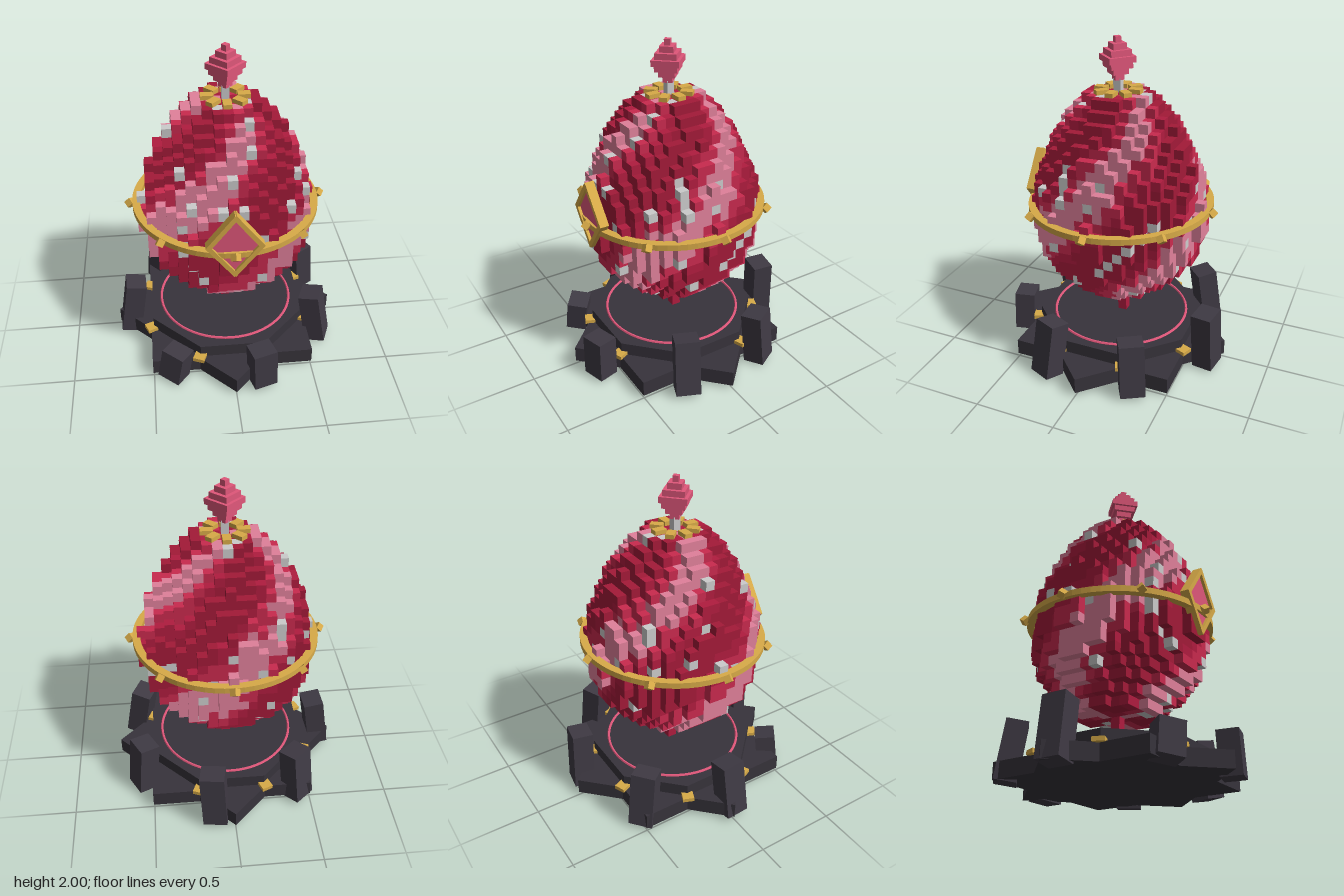
import * as THREE from 'three';
import { mergeGeometries } from 'three/addons/utils/BufferGeometryUtils.js';

const mat = (color) => new THREE.MeshStandardMaterial({ color, flatShading: true });
const gold = mat(0xd8ab48), stone = mat(0x3f3a44), slate = mat(0x37333b);
const rose = mat(0xe0577a), crimson = mat(0xb01c3f), grey = mat(0xcccccc);
const shell = [mat(0xa31a38), crimson, mat(0xc92a4e), mat(0xe0809a), grey];

function add(parent, name, geometry, material, x = 0, y = 0, z = 0) {
  const mesh = new THREE.Mesh(geometry, material);
  mesh.name = name;
  mesh.position.set(x, y, z);
  parent.add(mesh);
  return mesh;
}
const box = (w, h, d) => new THREE.BoxGeometry(w, h, d);

// Repeatable value in 0..1 from a cell address
function hash(a, b, c) {
  const s = Math.sin(a * 127.1 + b * 311.7 + c * 74.7) * 43758.5453;
  return s - Math.floor(s);
}

// Egg of small cubes, each layer a disc, coloured in three rising spirals
function buildEgg() {
  const egg = new THREE.Group();
  egg.name = 'eggShell';
  const size = 0.0571, bottom = 0.42;
  const radii = [4.3, 5.6, 6.6, 7.5, 8.2, 8.6, 8.9, 9.1, 9.15, 9.15, 9.05,
    8.9, 8.7, 8.4, 8.0, 7.6, 7.1, 6.6, 6.0, 5.2, 4.3, 3.2];
  const filled = (i, j, k) => j >= 0 && j < radii.length && Math.hypot(i, k) <= radii[j];
  const buckets = shell.map(() => []);
  for (let j = 0; j < radii.length; j++)
    for (let i = -9; i <= 9; i++)
      for (let k = -9; k <= 9; k++) {
        if (!filled(i, j, k)) continue;
        const buried = filled(i + 1, j, k) && filled(i - 1, j, k) && filled(i, j + 1, k)
          && filled(i, j - 1, k) && filled(i, j, k + 1) && filled(i, j, k - 1);
        if (buried) continue;
        const y = bottom + (j + 0.5) * size;
        const wave = Math.cos(3 * Math.atan2(i, k) - (Math.PI * 2 * (y - 0.5)) / 0.92)
          + (hash(i >> 1, j >> 1, k >> 1) - 0.5) * 0.6;
        let tone = wave > 0.6 ? 3 : wave > 0.05 ? 2 : wave > -0.45 ? 1 : 0;
        if (hash(i, j, k) < 0.06) tone = 4;
        buckets[tone].push(box(size, size, size).translate(i * size, y, k * size));
      }
  const names = ['deepRedCubes', 'crimsonCubes', 'redCubes', 'pinkCubes', 'greyCubes'];
  buckets.forEach((list, n) => add(egg, names[n], mergeGeometries(list), shell[n]));
  return egg;
}

// Flat girdle with eight beads
function buildRing() {
  const ring = new THREE.Group();
  ring.name = 'girdle';
  const section = [[0.525, -0.018], [0.572, -0.018], [0.572, 0.018], [0.525, 0.018], [0.525, -0.018]];
  add(ring, 'girdleBand', new THREE.LatheGeometry(section.map((p) => new THREE.Vector2(...p)), 64), gold);
  for (let n = 0; n < 8; n++) {
    const a = (n * Math.PI) / 4;
    const bead = add(ring, 'girdleBead', box(0.042, 0.042, 0.042), gold, Math.sin(a) * 0.585, 0, Math.cos(a) * 0.585);
    bead.rotation.set(Math.PI / 4, a, Math.PI / 4, 'YXZ');
  }
  ring.position.y = 0.985;
  return ring;
}

// Diamond medallion: stepped filling inside a four-bar frame
function buildMedallion() {
  const group = new THREE.Group();
  group.name = 'medallion';
  const hw = 0.15, hh = 0.198, rows = 13;
  for (let r = 0; r < rows; r++) {
    const y = ((r + 0.5) / rows * 2 - 1) * hh;
    const w = 2 * hw * (1 - Math.abs(y) / hh);
    add(group, 'medallionRow', box(w, (2 * hh) / rows, 0.03), rose, 0, y, -0.005);
  }
  for (const sx of [-1, 1])
    for (const sy of [-1, 1]) {
      const bar = add(group, 'medallionFrame', box(Math.hypot(hw, hh) + 0.02, 0.028, 0.056), gold, (sx * hw) / 2, (sy * hh) / 2, 0);
      bar.rotation.z = -sx * sy * Math.atan2(hh, hw);
    }
  group.position.set(0, 1.045, 0.545);
  return group;
}

// Crown petals, neck and stepped finial
function buildTop() {
  const group = new THREE.Group();
  group.name = 'crown';
  for (let n = 0; n < 8; n++) {
    const a = (n * Math.PI) / 4;
    add(group, 'crownPetal', box(0.05, 0.026, 0.075), gold, Math.sin(a) * 0.107, 1.69, Math.cos(a) * 0.107).rotation.y = a;
  }
  add(group, 'neck', box(0.045, 0.09, 0.045), grey, 0, 1.715, 0);
  const halfDiagonals = [0.04, 0.068, 0.095, 0.116, 0.09, 0.058, 0.025], h = 0.25 / 7;
  halfDiagonals.forEach((d, n) => {
    const w = d * Math.SQRT2;
    add(group, 'finialStep', box(w, h, w), rose, 0, 1.75 + (n + 0.5) * h, 0).rotation.y = Math.PI / 4;
  });
  return group;
}

// Star plinth with an octagonal step, clips in the notches and leaning stones
function buildBase() {
  const base = new THREE.Group();
  base.name = 'base';
  for (const turn of [0, Math.PI / 4])
    add(base, 'starSlab', box(1.01, 0.1, 1.01), slate, 0, 0.07, 0).rotation.y = turn;
  add(base, 'octagonStep', new THREE.CylinderGeometry(0.53, 0.53, 0.085, 8), slate, 0, 0.1575, 0).rotation.y = Math.PI / 8;
  const inlay = add(base, 'inlayRing', new THREE.TorusGeometry(0.43, 0.009, 6, 64), rose, 0, 0.203, 0);
  inlay.rotation.x = Math.PI / 2;
  for (let n = 0; n < 8; n++) {
    const a = ((n + 0.5) * Math.PI) / 4;
    add(base, 'goldClip', box(0.07, 0.025, 0.07), gold, Math.sin(a) * 0.545, 0.13, Math.cos(a) * 0.545).rotation.y = a;
  }
  // height, inward lean, sideways lean
  const stones = [[0.28, 0.03, 0.03], [0.37, 0.18, 0], [0.36, 0.1, 0.02], [0.395, 0.04, 0.06],
    [0.37, 0.15, -0.03], [0.38, 0.15, 0.02], [0.22, 0.12, -0.12]];
  stones.forEach(([h, lean, roll], n) => {
    const a = 0.27 + (n * Math.PI * 2) / 7;
    const block = add(base, 'leaningStone', box(0.15, h - 0.02, 0.13).translate(0, h / 2, 0), stone,
      Math.sin(a) * 0.645, 0.005, Math.cos(a) * 0.645);
    block.rotation.set(-lean, a, roll, 'YXZ');
  });
  return base;
}

export function createModel() {
  const model = new THREE.Group();
  model.name = 'jewelledEgg';
  model.add(buildBase());

  // The egg and everything fixed to it tip slightly forward
  const tilted = new THREE.Group();
  tilted.name = 'tiltedEgg';
  const body = new THREE.Group();
  body.name = 'eggBody';
  body.add(buildEgg(), buildRing(), buildMedallion(), buildTop());
  add(body, 'stem', box(0.057, 0.3, 0.057), crimson, 0, 0.32, 0);
  body.position.y = -0.99;
  tilted.add(body);
  tilted.position.y = 0.99;
  tilted.rotation.x = 0.025;
  model.add(tilted);
  return model;
}
